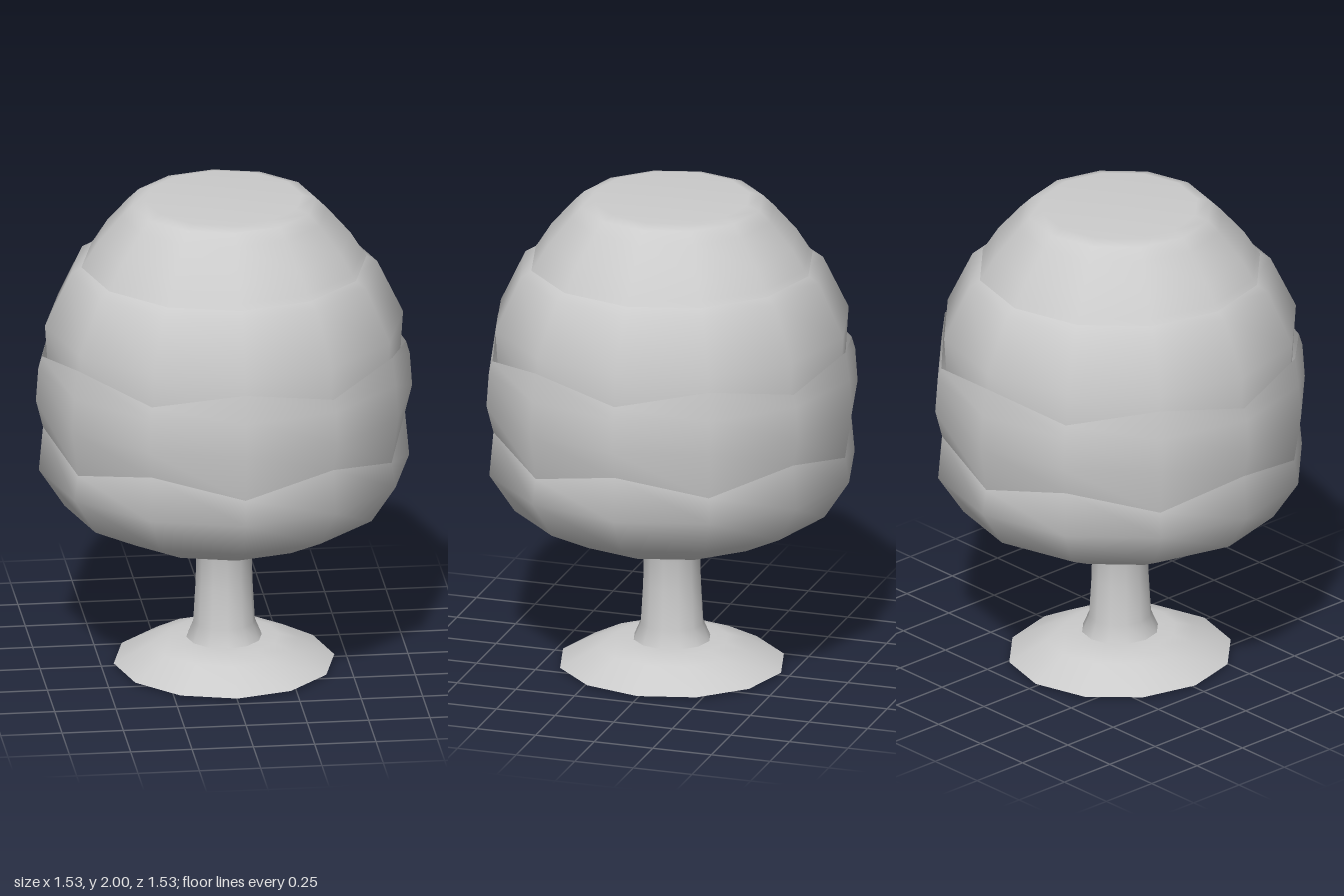
import * as THREE from 'three';
import { mergeVertices } from 'three/addons/utils/BufferGeometryUtils.js';

const SIDES = 12;
const material = new THREE.MeshStandardMaterial({ color: 0xcccccc, side: THREE.DoubleSide });

// Turned part from [radius, height, zigzag] rings; zigzag lifts every other corner and lowers the rest.
function turned(name, rings) {
  const lathe = new THREE.LatheGeometry(rings.map(([r, y]) => new THREE.Vector2(r, y)), SIDES);
  const pos = lathe.attributes.position;
  for (let i = 0; i < pos.count; i++) {
    const zigzag = rings[i % rings.length][2] || 0;
    const corner = Math.floor(i / rings.length);
    pos.setY(i, pos.getY(i) + (corner % 2 ? -zigzag : zigzag));
  }
  lathe.deleteAttribute('normal');
  lathe.deleteAttribute('uv');
  const geometry = mergeVertices(lathe, 1e-4);
  geometry.computeVertexNormals();
  const mesh = new THREE.Mesh(geometry, material);
  mesh.name = name;
  return mesh;
}

export function createModel() {
  const group = new THREE.Group();
  group.name = 'layeredGoblet';

  // Foot and stem, slightly narrower across x
  const foot = turned('foot', [[0.465, 0.01], [0.31, 0.09], [0.23, 0.112], [0.13, 0.112]]);
  const underside = turned('footUnderside', [[0, 0], [0.28, 0.002], [0.465, 0.01]]);
  const stem = turned('stem', [[0.16, 0.11], [0.13, 0.18], [0.12, 0.35], [0.117, 0.47], [0.137, 0.54]]);
  for (const part of [foot, underside, stem]) {
    part.scale.x = 0.967;
    group.add(part);
  }

  // Bowl and the stacked layers, meeting along zigzag edges
  group.add(
    turned('bowl', [[0.1, 0.53], [0.14, 0.535], [0.45, 0.6], [0.65, 0.7], [0.755, 0.86], [0.738, 1.005, -0.04]]),
    turned('middleLayer', [[0.738, 1.005, -0.04], [0.767, 1.16], [0.757, 1.3], [0.742, 1.385, 0.035]]),
    turned('upperLayer', [[0.715, 1.25], [0.73, 1.48], [0.625, 1.7], [0.56, 1.74]]),
    turned('cap', [[0.6, 1.7], [0.565, 1.75], [0.515, 1.83], [0.42, 1.94], [0.375, 1.985], [0.32, 2], [0, 2]])
  );
  return group;
}
